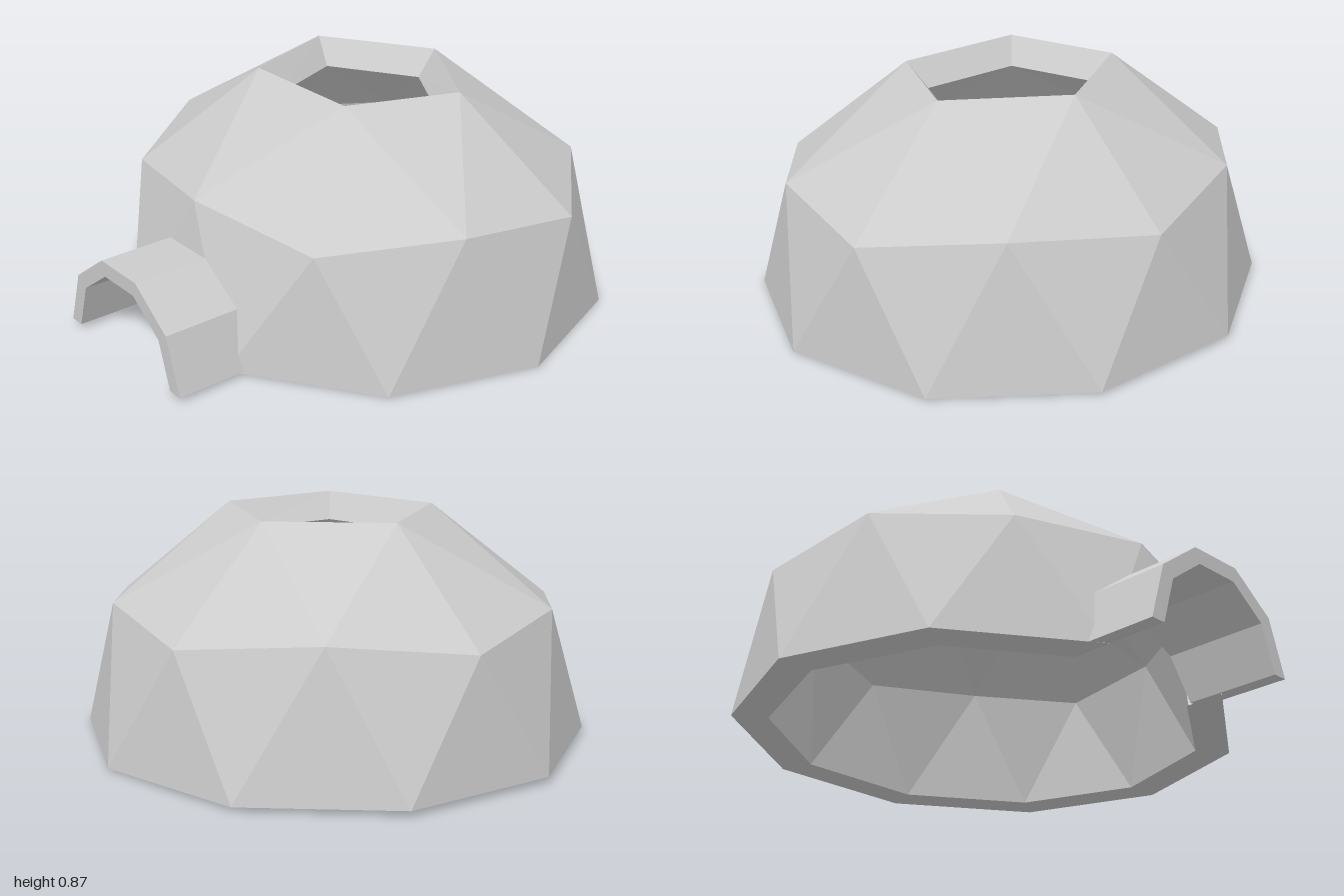
import * as THREE from 'three';

const DEG = Math.PI / 180;
const CX = 0.115;          // dome centre in x
const TILT = 0.0135;       // the dome leans very slightly
const DOOR_Y = 0.02, DOOR_OUT = 0.36, DOOR_IN = 0.3;

// Flat-shaded mesh from a list of convex polygons
function polyMesh(name, polys) {
  const pos = [];
  for (const p of polys)
    for (let i = 1; i < p.length - 1; i++)
      for (const v of [p[0], p[i], p[i + 1]]) pos.push(v.x, v.y, v.z);
  const geo = new THREE.BufferGeometry();
  geo.setAttribute('position', new THREE.Float32BufferAttribute(pos, 3));
  geo.computeVertexNormals();
  const mesh = new THREE.Mesh(geo, new THREE.MeshStandardMaterial({ color: 0xcccccc, flatShading: true }));
  mesh.name = name;
  return mesh;
}

// Ring of n points on an ellipse, starting at a given angle
function ring(n, start, y, rx, rz) {
  return Array.from({ length: n }, (_, k) => {
    const a = (start + (k * 360) / n) * DEG;
    return new THREE.Vector3(CX + rx * Math.cos(a), y, -rz * Math.sin(a))
      .applyAxisAngle(new THREE.Vector3(1, 0, 0), TILT);
  });
}

// Triangles of one geodesic skin, facing outwards
function skin({ top, mid, low, base }) {
  const tris = [];
  for (let k = 0; k < 5; k++) {
    const n = (k + 1) % 5, p = (k + 4) % 5;
    const b = (j) => base[(2 * k + j + 10) % 10];
    tris.push(
      [top[k], mid[k], top[n]],
      [top[k], low[k], mid[k]],
      [top[k], mid[p], low[k]],
      [low[k], b(0), mid[k]],
      [low[k], b(-1), b(0)],
      [mid[k], b(0), b(1)],
      [mid[k], b(1), low[n]]
    );
  }
  return tris;
}

// Split a polygon by a signed distance; returns the part where it is >= 0
function clip(poly, dist) {
  const out = [];
  poly.forEach((a, i) => {
    const b = poly[(i + 1) % poly.length];
    const da = dist(a), db = dist(b);
    if (da >= 0) out.push(a);
    if (da * db < 0) out.push(a.clone().lerp(b, da / (da - db)));
  });
  return out;
}

// Remove the ten-sided doorway from a polygon on the -x side
function cutDoor(poly) {
  if (poly.some((v) => v.x > 0)) return [poly];
  const kept = [];
  let rest = poly;
  const apothem = DOOR_IN * Math.cos(18 * DEG);
  for (let i = 0; i < 10 && rest.length > 2; i++) {
    const a = (18 + 36 * i) * DEG;
    const d = (v) => v.z * Math.cos(a) + (v.y - DOOR_Y) * Math.sin(a) - apothem;
    const outside = clip(rest, d);
    if (outside.length > 2) kept.push(outside);
    rest = clip(rest, (v) => -d(v));
  }
  return kept;
}

function makeDome() {
  const outer = {
    top: ring(5, 0, 0.866, 0.376, 0.431),
    mid: ring(5, 36, 0.545, 0.79, 0.875),
    low: ring(5, 0, 0.49, 0.83, 0.91),
    base: ring(10, 18, 0.015, 0.93, 0.983),
  };
  const inner = {
    top: ring(5, 0, 0.765, 0.293, 0.342),
    mid: ring(5, 36, 0.465, 0.67, 0.75),
    low: ring(5, 0, 0.43, 0.71, 0.785),
    base: ring(10, 18, 0.015, 0.795, 0.845),
  };
  const polys = [...skin(outer), ...skin(inner).map((t) => t.reverse())];
  // Rim of the roof opening and underside of the wall
  for (let k = 0; k < 5; k++) {
    const n = (k + 1) % 5;
    polys.push([outer.top[k], outer.top[n], inner.top[n], inner.top[k]]);
  }
  for (let k = 0; k < 10; k++) {
    const n = (k + 1) % 10;
    polys.push([outer.base[k], inner.base[k], inner.base[n], outer.base[n]]);
  }
  return polyMesh('dome', polys.flatMap(cutDoor));
}

// Half-decagon arch running from the entrance to the inside of the wall
function makeTunnel() {
  const point = (r, i, isEnd) => {
    const y = DOOR_Y + r * Math.sin(36 * i * DEG);
    return new THREE.Vector3(isEnd ? -0.635 + 0.2 * y : -1, y, r * Math.cos(36 * i * DEG));
  };
  const polys = [];
  const O = (i, e) => point(DOOR_OUT, i, e), I = (i, e) => point(DOOR_IN, i, e);
  for (let i = 0; i < 5; i++) {
    const j = i + 1;
    polys.push(
      [O(i, 0), O(i, 1), O(j, 1), O(j, 0)],
      [I(i, 0), I(j, 0), I(j, 1), I(i, 1)],
      [O(i, 0), O(j, 0), I(j, 0), I(i, 0)],
      [O(i, 1), I(i, 1), I(j, 1), O(j, 1)]
    );
  }
  // Feet
  polys.push([O(0, 0), I(0, 0), I(0, 1), O(0, 1)], [O(5, 0), O(5, 1), I(5, 1), I(5, 0)]);
  return polyMesh('entranceTunnel', polys);
}

export function createModel() {
  const group = new THREE.Group();
  group.name = 'igloo';
  group.add(makeDome(), makeTunnel());
  return group;
}
